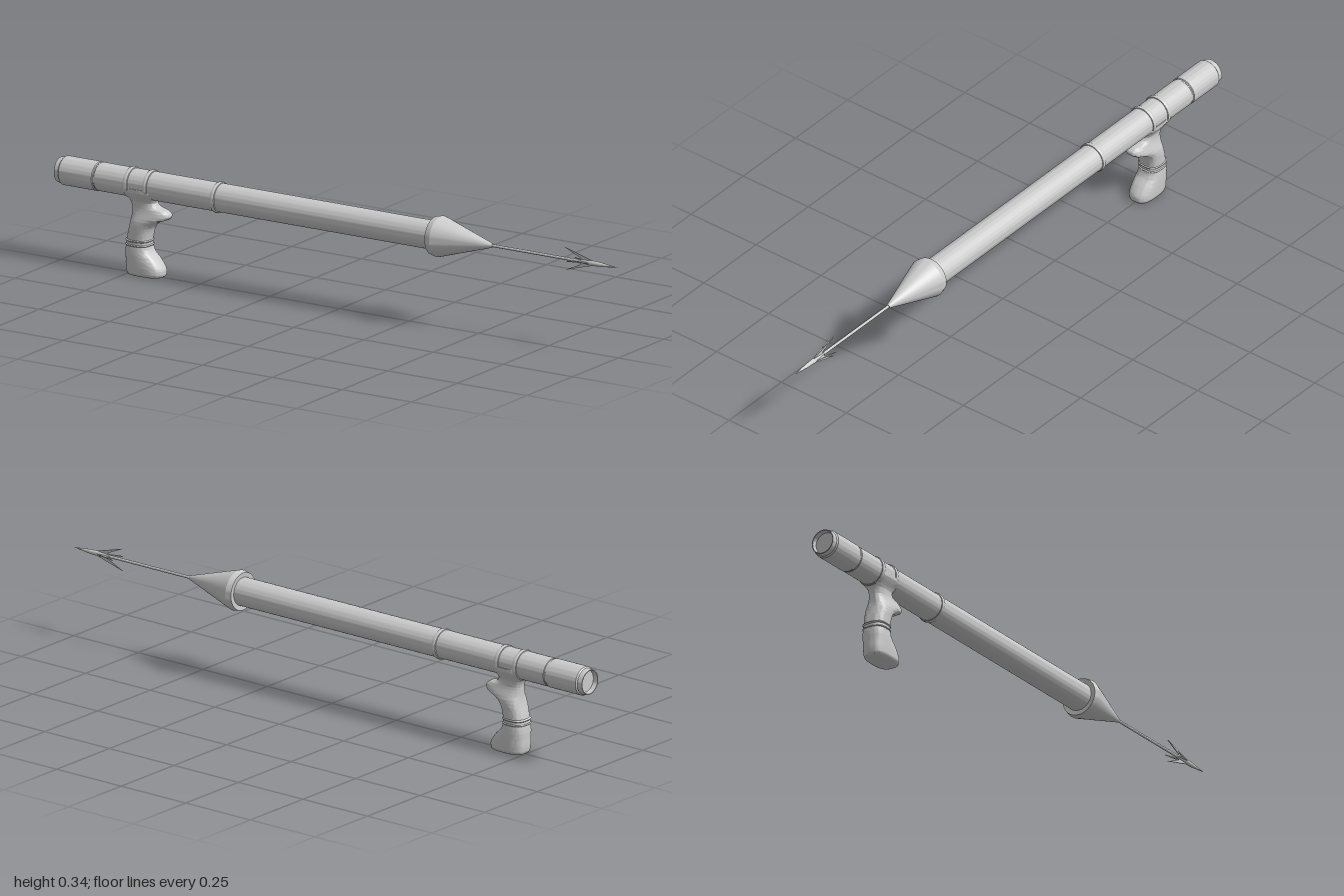
import * as THREE from 'three';
import { toCreasedNormals } from 'three/addons/utils/BufferGeometryUtils.js';

const AXIS_Y = 0.281;
const material = new THREE.MeshStandardMaterial({ color: 0xcccccc });
const thin = new THREE.MeshStandardMaterial({ color: 0xcccccc, side: THREE.DoubleSide });

// Turned part along +x, profile points are [x, radius] from back to front
function turned(name, profile, sides = 48) {
  const g = new THREE.LatheGeometry(profile.map(([x, r]) => new THREE.Vector2(r, x)), sides);
  g.rotateZ(-Math.PI / 2);
  const mesh = new THREE.Mesh(toCreasedNormals(g, 0.45), material);
  mesh.name = name;
  mesh.position.y = AXIS_Y;
  return mesh;
}

// Smooth loft up y; each section is [y, back x, front x, half width]
function loft(name, sections, steps, square = 2.8) {
  const n = 40, pos = [], idx = [];
  const edge = new THREE.CatmullRomCurve3(sections.map(s => new THREE.Vector3(s[1], s[0], s[2])), false, 'centripetal');
  const width = new THREE.CatmullRomCurve3(sections.map(s => new THREE.Vector3(s[3], s[0], 0)), false, 'centripetal');
  const p = (c) => Math.sign(c) * Math.abs(c) ** (2 / square);
  for (let i = 0; i <= steps; i++) {
    const e = edge.getPoint(i / steps), w = width.getPoint(i / steps).x;
    const mid = (e.x + e.z) / 2, half = (e.z - e.x) / 2;
    for (let j = 0; j < n; j++) {
      const a = (j / n) * Math.PI * 2;
      pos.push(mid + half * p(Math.cos(a)), e.y, -w * p(Math.sin(a)));
    }
  }
  for (let i = 0; i < steps; i++) {
    for (let j = 0; j < n; j++) {
      const a = i * n + j, b = i * n + (j + 1) % n;
      idx.push(a, b, a + n, b, b + n, a + n);
    }
  }
  // End caps
  for (let j = 1; j < n - 1; j++) {
    const t = steps * n;
    idx.push(0, j + 1, j, t, t + j, t + j + 1);
  }
  const g = new THREE.BufferGeometry();
  g.setAttribute('position', new THREE.Float32BufferAttribute(pos, 3));
  g.setIndex(idx);
  const mesh = new THREE.Mesh(toCreasedNormals(g, 0.7), material);
  mesh.name = name;
  return mesh;
}

export function createModel() {
  const model = new THREE.Group();
  model.name = 'harpoonLauncher';

  // Barrel with stepped rear cap and a fine seam
  model.add(turned('barrel', [
    [-0.985, 0], [-0.985, 0.034], [-1, 0.036], [-1, 0.039], [-0.984, 0.041], [-0.98, 0.045],
    [-0.862, 0.045], [-0.86, 0.0425], [-0.856, 0.0425], [-0.854, 0.044], [0.36, 0.044],
  ]));

  // Raised bands around the barrel
  for (const x of [-0.742, -0.672, -0.43]) {
    model.add(turned('barrelBand', [
      [x - 0.008, 0.043], [x - 0.007, 0.0465], [x - 0.003, 0.048],
      [x + 0.003, 0.048], [x + 0.007, 0.0465], [x + 0.008, 0.043],
    ]));
  }

  // Conical muzzle
  model.add(turned('muzzleCone', [
    [0.345, 0.04], [0.343, 0.059], [0.362, 0.063], [0.368, 0.0615], [0.55, 0.006], [0.55, 0],
  ]));

  // Shaft and pointed head
  model.add(turned('spearShaft', [[0.53, 0.0045], [0.9, 0.0045]], 16));
  model.add(turned('spearHead', [[0.86, 0.0045], [0.905, 0.008], [0.94, 0.0065], [1, 0]], 16));

  // Four swept-back barbs, the upright pair longer
  const barbs = new THREE.Group();
  barbs.name = 'barbs';
  barbs.position.y = AXIS_Y;
  for (let i = 0; i < 4; i++) {
    const reach = i % 2 ? 0.024 : 0.035, tail = i % 2 ? 0.83 : 0.81;
    const shape = new THREE.Shape();
    shape.moveTo(0.925, 0.003);
    shape.lineTo(tail, reach);
    shape.lineTo(0.868, 0.009);
    shape.lineTo(0.855, 0.003);
    shape.closePath();
    const g = new THREE.ExtrudeGeometry(shape, { depth: 0.003, bevelEnabled: false });
    g.translate(0, 0, -0.0015);
    const barb = new THREE.Mesh(g, thin);
    barb.name = 'barb';
    barb.rotation.x = i * Math.PI / 2;
    barbs.add(barb);
  }
  model.add(barbs);

  // Pistol grip with forward toe, finger rest and flared saddle
  model.add(loft('grip', [
    [0.000, -0.745, -0.636, 0.032],
    [0.004, -0.753, -0.630, 0.037],
    [0.022, -0.757, -0.629, 0.039],
    [0.050, -0.757, -0.648, 0.039],
    [0.075, -0.757, -0.672, 0.038],
    [0.100, -0.754, -0.678, 0.036],
    [0.130, -0.748, -0.675, 0.037],
    [0.155, -0.742, -0.665, 0.038],
    [0.172, -0.739, -0.642, 0.037],
    [0.184, -0.738, -0.613, 0.034],
    [0.196, -0.738, -0.606, 0.030],
    [0.207, -0.738, -0.616, 0.027],
    [0.217, -0.739, -0.648, 0.026],
    [0.230, -0.744, -0.656, 0.027],
    [0.248, -0.757, -0.646, 0.038],
    [0.262, -0.765, -0.638, 0.046],
    [0.273, -0.762, -0.641, 0.046],
  ], 96));

  // Two slim ridges around the grip
  for (const y of [0.094, 0.108]) {
    model.add(loft('gripRidge', [
      [y - 0.004, -0.753, -0.679, 0.035],
      [y, -0.757, -0.675, 0.0385],
      [y + 0.004, -0.753, -0.679, 0.035],
    ], 8));
  }
  return model;
}
